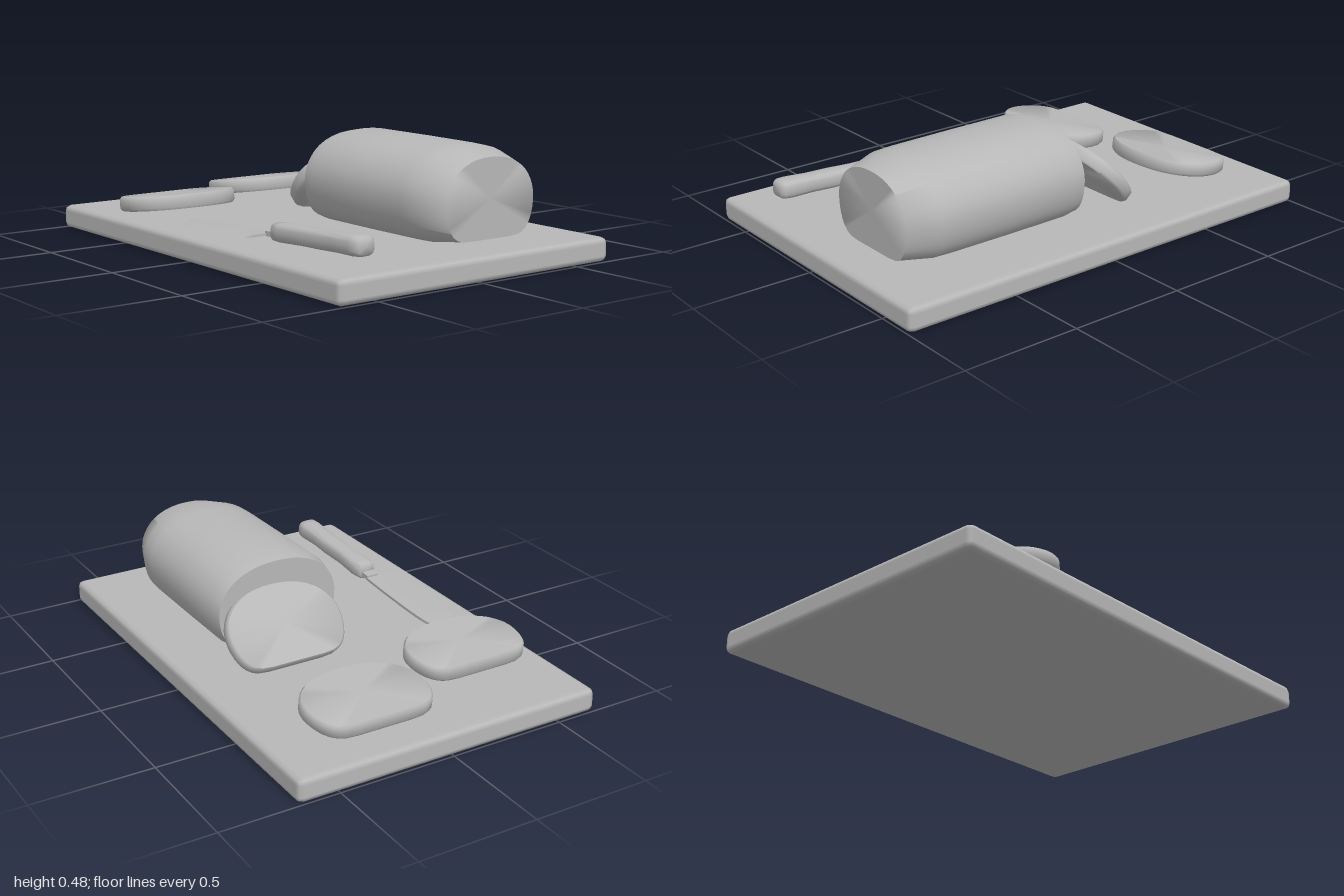
import * as THREE from 'three';
import { toCreasedNormals } from 'three/addons/utils/BufferGeometryUtils.js';
import { RoundedBoxGeometry } from 'three/addons/geometries/RoundedBoxGeometry.js';

const clay = new THREE.MeshStandardMaterial({ color: 0xb8b8b8 });
clay.name = 'plain grey';

// Joins closed cross-sections, ordered along +x, and caps both ends
function loft(rings, crease) {
  const n = rings[0].length;
  const position = rings.flat(2);
  const index = [];
  for (let i = 0; i < rings.length - 1; i++) {
    for (let j = 0; j < n; j++) {
      const a = i * n + j, b = i * n + (j + 1) % n;
      index.push(a, b, b + n, a, b + n, a + n);
    }
  }
  for (const end of [0, rings.length - 1]) {
    const centre = position.length / 3;
    for (let k = 0; k < 3; k++) {
      position.push(rings[end].reduce((sum, p) => sum + p[k], 0) / n);
    }
    for (let j = 0; j < n; j++) {
      const a = end * n + j, b = end * n + (j + 1) % n;
      if (end === 0) index.push(centre, b, a);
      else index.push(centre, a, b);
    }
  }
  const geometry = new THREE.BufferGeometry();
  geometry.setAttribute('position', new THREE.Float32BufferAttribute(position, 3));
  geometry.setIndex(index);
  geometry.computeVertexNormals();
  return toCreasedNormals(geometry, crease);
}

// Bread outline: half width -1..1, height 0..1, starting at the top
const half = [[0, 1], [0.45, 0.955], [0.78, 0.82], [0.95, 0.64], [1, 0.47],
  [0.96, 0.25], [0.84, 0.09], [0.6, 0]];
const outline = [
  ...half,
  ...half.slice(1).reverse().map(([w, h]) => [-w, h]),
];
const breadCurve = new THREE.CatmullRomCurve3(
  outline.map(([w, h]) => new THREE.Vector3(w, h, 0)), true, 'centripetal');
const breadSection = breadCurve.getPoints(42).slice(0, -1);

function breadRing(x, halfWidth, low, high, z = 0) {
  return breadSection.map((p) => [x, low + Math.max(p.y, 0) * (high - low), z + p.x * halfWidth]);
}

function add(parent, name, geometry) {
  const mesh = new THREE.Mesh(geometry, clay);
  mesh.name = name;
  parent.add(mesh);
  return mesh;
}

// Slice lying down, its base towards -x, tilted about z
function addSlice(parent, name, [x, y, z], length, halfWidth, thickness, tilt) {
  const t = thickness / 2;
  const rings = [[-t, 0.965], [-t + 0.01, 1], [t - 0.01, 1], [t, 0.965]].map(([d, s]) =>
    breadRing(d, halfWidth * s, -length / 2 * s, length / 2 * s));
  const slice = add(parent, name, loft(rings, 0.9).rotateZ(-Math.PI / 2));
  slice.position.set(x, y, z);
  slice.rotation.z = THREE.MathUtils.degToRad(tilt);
}

function createKnife() {
  const knife = new THREE.Group();
  knife.name = 'knife';
  // Blade: spine, start of the ground edge, cutting edge
  const blade = [
    [0, 0.452, 0.457, 0.462],
    [0.09, 0.422, 0.53, 0.562],
    [0.15, 0.417, 0.54, 0.574],
    [0.25, 0.415, 0.545, 0.58],
    [0.43, 0.417, 0.548, 0.585],
    [0.565, 0.422, 0.54, 0.577],
  ].map(([x, spine, bevel, edge]) => [
    [x, 0.006, spine], [x, 0.005, bevel], [x, 0, edge], [x, -0.005, bevel], [x, -0.006, spine],
  ]);
  add(knife, 'blade', loft(blade, 0.5));

  const tang = add(knife, 'tang', new THREE.BoxGeometry(0.08, 0.02, 0.055));
  tang.position.set(0.6, 0.004, 0.452);

  // Handle with shallow finger grips
  const handle = [
    [0.605, 0.036, 0.03], [0.612, 0.041, 0.036], [0.66, 0.05, 0.038], [0.78, 0.042, 0.037],
    [0.9, 0.047, 0.038], [1.0, 0.043, 0.038], [1.1, 0.051, 0.04], [1.137, 0.047, 0.038],
    [1.15, 0.036, 0.029],
  ].map(([x, rz, ry]) => Array.from({ length: 20 }, (_, i) => {
    const a = i / 20 * Math.PI * 2;
    const round = (v) => Math.sign(v) * Math.abs(v) ** 0.65;
    return [x, 0.014 + ry * round(Math.cos(a)), 0.45 + rz * round(Math.sin(a))];
  }));
  add(knife, 'handle', loft(handle, 1));

  knife.position.set(-0.28, 0.108, 0);
  knife.rotation.z = 0.043;
  return knife;
}

export function createModel() {
  const model = new THREE.Group();
  model.name = 'breadBoard';

  // Board with chamfered edges
  add(model, 'board', new RoundedBoxGeometry(2, 0.1, 1.35, 1, 0.025)).position.y = 0.05;

  // Loaf, cut flat at one end and tapered at the other
  const loaf = [
    [0, 0.272, 0.112, 0.468], [0.06, 0.284, 0.107, 0.48], [0.35, 0.284, 0.105, 0.479],
    [0.62, 0.283, 0.105, 0.476], [0.7, 0.278, 0.106, 0.473], [0.83, 0.228, 0.12, 0.44],
  ].map(([x, halfWidth, low, high]) => breadRing(x, halfWidth, low, high, -0.192));
  add(model, 'loaf', loft(loaf, 1.25));

  addSlice(model, 'leaningSlice', [-0.143, 0.255, -0.25], 0.343, 0.258, 0.056, 48);
  addSlice(model, 'backSlice', [-0.68, 0.16, -0.208], 0.352, 0.266, 0.058, 7.5);
  addSlice(model, 'frontSlice', [-0.512, 0.158, 0.368], 0.332, 0.258, 0.06, 6.5);

  model.add(createKnife());
  return model;
}
